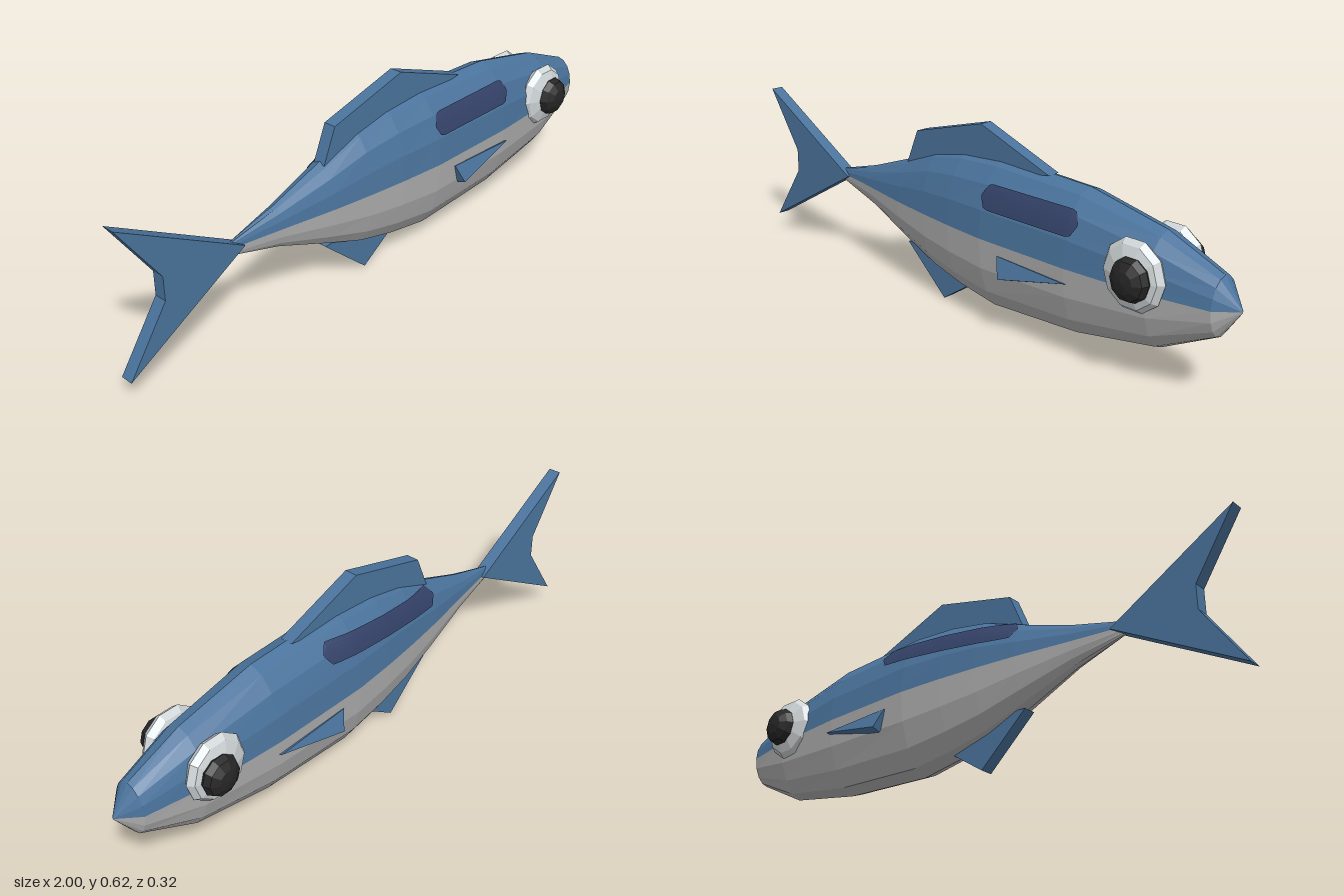
import * as THREE from 'three';

const mat = (name, color) => {
  const m = new THREE.MeshStandardMaterial({ color, flatShading: true });
  m.name = name;
  return m;
};

// Body stations: x, top y, bottom y, half width
const MID = 0.3;
const STATIONS = [
  [-0.635, 0.315, 0.28, 0.004], [-0.45, 0.367, 0.228, 0.035], [-0.27, 0.432, 0.155, 0.068],
  [-0.13, 0.488, 0.1, 0.088], [0, 0.515, 0.068, 0.103], [0.15, 0.526, 0.045, 0.115],
  [0.48, 0.515, 0.065, 0.112], [0.75, 0.46, 0.115, 0.092], [0.935, 0.385, 0.21, 0.057],
  [0.995, 0.302, 0.298, 0.002],
];
const SIDES = 8;

// Lofts the upper (sign 1) or lower (sign -1) half of the body
function halfBody(sign) {
  const pos = [], idx = [];
  for (const [x, top, bottom, w] of STATIONS) {
    const h = sign > 0 ? top - MID : MID - bottom;
    for (let j = 0; j <= SIDES; j++) {
      const t = (j / SIDES) * Math.PI;
      pos.push(x, MID + sign * h * Math.sin(t), sign * w * Math.cos(t));
    }
  }
  const n = SIDES + 1;
  for (let i = 0; i < STATIONS.length - 1; i++) {
    for (let j = 0; j < SIDES; j++) {
      const a = i * n + j, b = a + n;
      idx.push(a, b, b + 1, a, b + 1, a + 1);
    }
  }
  const g = new THREE.BufferGeometry();
  g.setAttribute('position', new THREE.Float32BufferAttribute(pos, 3));
  g.setIndex(idx);
  g.computeVertexNormals();
  return g;
}

// Half width of the upper body at a given x and y
function flankZ(x, y) {
  let i = 0;
  while (i < STATIONS.length - 2 && STATIONS[i + 1][0] < x) i++;
  const a = STATIONS[i], b = STATIONS[i + 1], f = (x - a[0]) / (b[0] - a[0]);
  const h = a[1] + (b[1] - a[1]) * f - MID, w = a[3] + (b[3] - a[3]) * f;
  const s = Math.min(1, Math.max(0, (y - MID) / h));
  return w * Math.sqrt(1 - s * s);
}

// Flat fin outline extruded evenly about z = 0
function fin(points, thickness) {
  const shape = new THREE.Shape(points.map(([x, y]) => new THREE.Vector2(x, y)));
  const g = new THREE.ExtrudeGeometry(shape, { depth: thickness, bevelEnabled: false });
  return g.translate(0, 0, -thickness / 2);
}

// Thin rounded patch hugging the flank; y is given at each end
function flankPatch(x0, x1, y0, y1, height, side) {
  const g = new THREE.PlaneGeometry(1, 1, 24, 6);
  const p = g.attributes.position, len = x1 - x0, r = height * 0.45;
  for (let i = 0; i < p.count; i++) {
    const u = p.getX(i) + 0.5, v = p.getY(i);
    const end = Math.max(0, r - Math.min(u, 1 - u) * len);
    const half = height / 2 - r + Math.sqrt(r * r - end * end);
    const x = x0 + u * len, y = y0 + (y1 - y0) * u + v * 2 * half;
    p.setXYZ(i, x, y, side * (flankZ(x, y) + 0.003));
  }
  g.computeVertexNormals();
  return g;
}

export function createModel() {
  const model = new THREE.Group();
  model.name = 'fish';
  const blue = mat('backBlue', 0x4a739c);
  const grey = mat('bellyGrey', 0xb0b0b0);
  const white = mat('eyeWhite', 0xd0d6d8);
  const black = mat('pupilBlack', 0x262626);
  const navy = mat('patchNavy', 0x344268);
  navy.side = THREE.DoubleSide;

  const add = (name, geometry, material, parent = model) => {
    const mesh = new THREE.Mesh(geometry, material);
    mesh.name = name;
    parent.add(mesh);
    return mesh;
  };

  // Body
  add('upperBody', halfBody(1), blue);
  add('belly', halfBody(-1), grey);

  // Middle fins
  const T = 0.042;
  add('tailFin', fin([[-0.58, 0.3], [-1, 0.535], [-0.865, 0.335], [-0.865, 0.258], [-1, 0.06]], T), blue);
  add('dorsalFin', fin([[-0.27, 0.42], [-0.22, 0.538], [0.065, 0.617], [0.34, 0.518], [0.05, 0.47]], T), blue);
  add('analFin', fin([[-0.27, 0.15], [-0.1, 0], [0.01, 0.075], [-0.1, 0.16]], T), blue);

  // Paired side fins and eyes
  for (const side of [1, -1]) {
    const label = side > 0 ? 'Right' : 'Left';
    const sideFin = add('sideFin' + label, fin([[0, 0], [0.025, -0.065], [0.265, -0.008]], 0.03), blue);
    sideFin.position.set(0.225, 0.26, side * 0.1);
    sideFin.rotation.x = -side * 0.35;

    const eye = new THREE.Group();
    eye.name = 'eye' + label;
    model.add(eye);
    const ball = (name, material, r, depth, x, z) => {
      const g = new THREE.SphereGeometry(1, 10, 6).rotateX(Math.PI / 2);
      const mesh = add(name, g, material, eye);
      mesh.scale.set(r, r * 1.03, depth);
      mesh.position.set(x, 0.343, side * z);
    };
    ball('eyeball', white, 0.104, 0.038, 0.71, 0.088);
    ball('pupil', black, 0.063, 0.04, 0.724, 0.122);
  }

  // Flank patches, set differently on the two sides
  add('nearPatch', flankPatch(0.145, 0.51, 0.43, 0.43, 0.075, 1), navy);
  add('farPatch', flankPatch(-0.27, 0.27, 0.4, 0.465, 0.065, -1), navy);

  return model;
}
